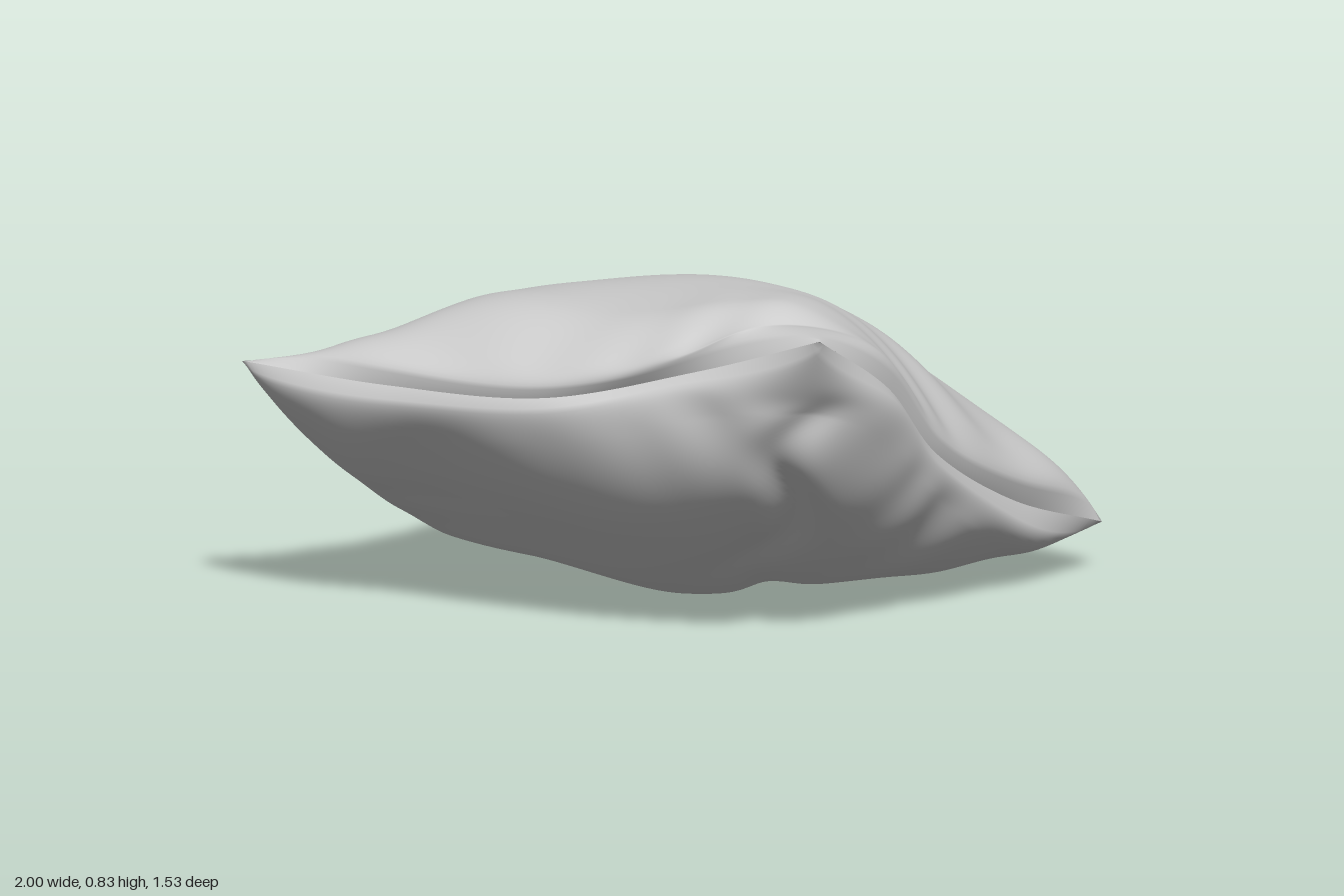
import * as THREE from 'three';

const SEG = 120;

// Seam, four sides of five points each (corners shared): left, front, right, back corners
const LEFT = [-1, 0.61, 0.11], FRONT = [0.27, 0.8, 0.76];
const RIGHT = [1, 0.12, -0.1], BACK = [-0.16, 0.19, -0.77];
const seam = {
  leftFront: [LEFT, [-0.68, 0.59, 0.28], [-0.34, 0.6, 0.46], [0, 0.68, 0.56], FRONT],
  frontRight: [FRONT, [0.45, 0.62, 0.52], [0.58, 0.41, 0.34], [0.78, 0.23, 0.1], RIGHT],
  backRight: [BACK, [0.1, 0.2, -0.56], [0.33, 0.26, -0.35], [0.68, 0.21, -0.23], RIGHT],
  leftBack: [LEFT, [-0.76, 0.35, -0.04], [-0.52, 0.14, -0.27], [-0.42, 0.16, -0.47], BACK],
};

// Inner 3 x 3 guide points of each panel; rows run from the left-front seam to the back-right seam
const topInner = [
  [[-0.5, 0.69, 0.08], [-0.15, 0.75, 0.35], [0.2, 0.79, 0.49]],
  [[-0.32, 0.59, -0.22], [0.03, 0.765, 0.02], [0.37, 0.71, 0.24]],
  [[-0.1, 0.41, -0.44], [0.23, 0.53, -0.28], [0.55, 0.49, 0]],
];
const bottomInner = [
  [[-0.5, 0.3, 0.1], [-0.12, 0.28, 0.37], [0.22, 0.45, 0.58]],
  [[-0.29, 0.09, -0.1], [0.05, 0.01, 0.04], [0.42, 0.17, 0.27]],
  [[-0.1, 0.15, -0.46], [0.24, 0.08, -0.2], [0.57, 0.07, -0.02]],
];

const spline = (pts) => new THREE.CatmullRomCurve3(pts, false, 'catmullrom', 0.5);
const bump = (d, w) => Math.exp(-(d * d) / (w * w));

// Smooth surface through the seam and the inner guide points
function makeSurface(inner) {
  const rows = [
    seam.leftFront,
    ...inner.map((r, j) => [seam.leftBack[j + 1], ...r, seam.frontRight[j + 1]]),
    seam.backRight,
  ].map((r) => spline(r.map((p) => new THREE.Vector3(...p))));
  return (u, v) => spline(rows.map((r) => r.getPoint(u))).getPoint(v);
}

// Gathers running away from a seam: e is the distance from it, t the position along it
function gathers(e, t, phase) {
  const wave = Math.sin(38 * t + 2.2 * Math.sin(9 * t + phase) + 9 * e);
  return wave * (e / 0.1) * Math.exp(1 - e / 0.1) * (0.55 + 0.45 * Math.sin(7 * t + phase));
}

// Filling that rounds out a corner: a and b are the distances from its two seams
function cornerFill(a, b) {
  const p = Math.sqrt(a * b) / 0.12;
  return p * Math.exp(1 - p) * bump(Math.hypot(a, b), 0.32);
}

// Height of the filling and folds above the guide surface, zero along the seam
function relief(u, v, isTop) {
  const s = 16 * u * (1 - u) * v * (1 - v);
  const hold = Math.min(1, s * 4);
  let h = 0.085 * Math.sqrt(s) * (1 - s);
  h += 0.045 * cornerFill(u, v) + 0.05 * cornerFill(1 - u, v) + 0.07 * cornerFill(1 - u, 1 - v);
  h += hold * 0.009 * (gathers(v, u, 1) + gathers(1 - u, v, 2.5));
  h += hold * 0.004 * (gathers(u, v, 4) + gathers(1 - v, u, 0.4));
  if (isTop) {
    // fold where the back corner flap tucks under the body
    h -= hold * 0.06 * bump(v - u - 0.64, 0.05);
  } else {
    // pinched fold running down from the front corner
    const along = u - v;
    h -= hold * 0.04 * bump(u + v - 1 + 0.04 * Math.sin(14 * along), 0.05) * bump(along - 0.45, 0.25);
    // fold crossing the underside to the back seam
    h -= hold * 0.045 * bump(u - 0.68 + 0.17 * v, 0.035) * bump(v - 0.85, 0.35);
  }
  return h;
}

function makePanel(name, inner, isTop, material) {
  const surface = makeSurface(inner);
  const geo = new THREE.PlaneGeometry(1, 1, SEG, SEG);
  const pos = geo.attributes.position, uv = geo.attributes.uv;
  // swapping u and v turns the lower panel to face outwards
  const coords = (i) => (isTop ? [uv.getX(i), uv.getY(i)] : [uv.getY(i), uv.getX(i)]);
  for (let i = 0; i < pos.count; i++) {
    const p = surface(...coords(i));
    pos.setXYZ(i, p.x, p.y, p.z);
  }
  geo.computeVertexNormals();
  const n = geo.attributes.normal.clone();
  for (let i = 0; i < pos.count; i++) {
    const h = relief(...coords(i), isTop);
    pos.setXYZ(i, pos.getX(i) + n.getX(i) * h, pos.getY(i) + n.getY(i) * h, pos.getZ(i) + n.getZ(i) * h);
  }
  geo.computeVertexNormals();
  const mesh = new THREE.Mesh(geo, material);
  mesh.name = name;
  return mesh;
}

export function createModel() {
  const group = new THREE.Group();
  group.name = 'pillow';
  const fabric = new THREE.MeshStandardMaterial({ color: 0xcccccc, side: THREE.DoubleSide });
  const panels = [
    makePanel('topPanel', topInner, true, fabric),
    makePanel('bottomPanel', bottomInner, false, fabric),
  ];
  group.add(...panels);
  // rest the lowest point on the ground
  const lowest = new THREE.Box3().setFromObject(group).min.y;
  panels.forEach((p) => p.geometry.translate(0, -lowest, 0));
  return group;
}
